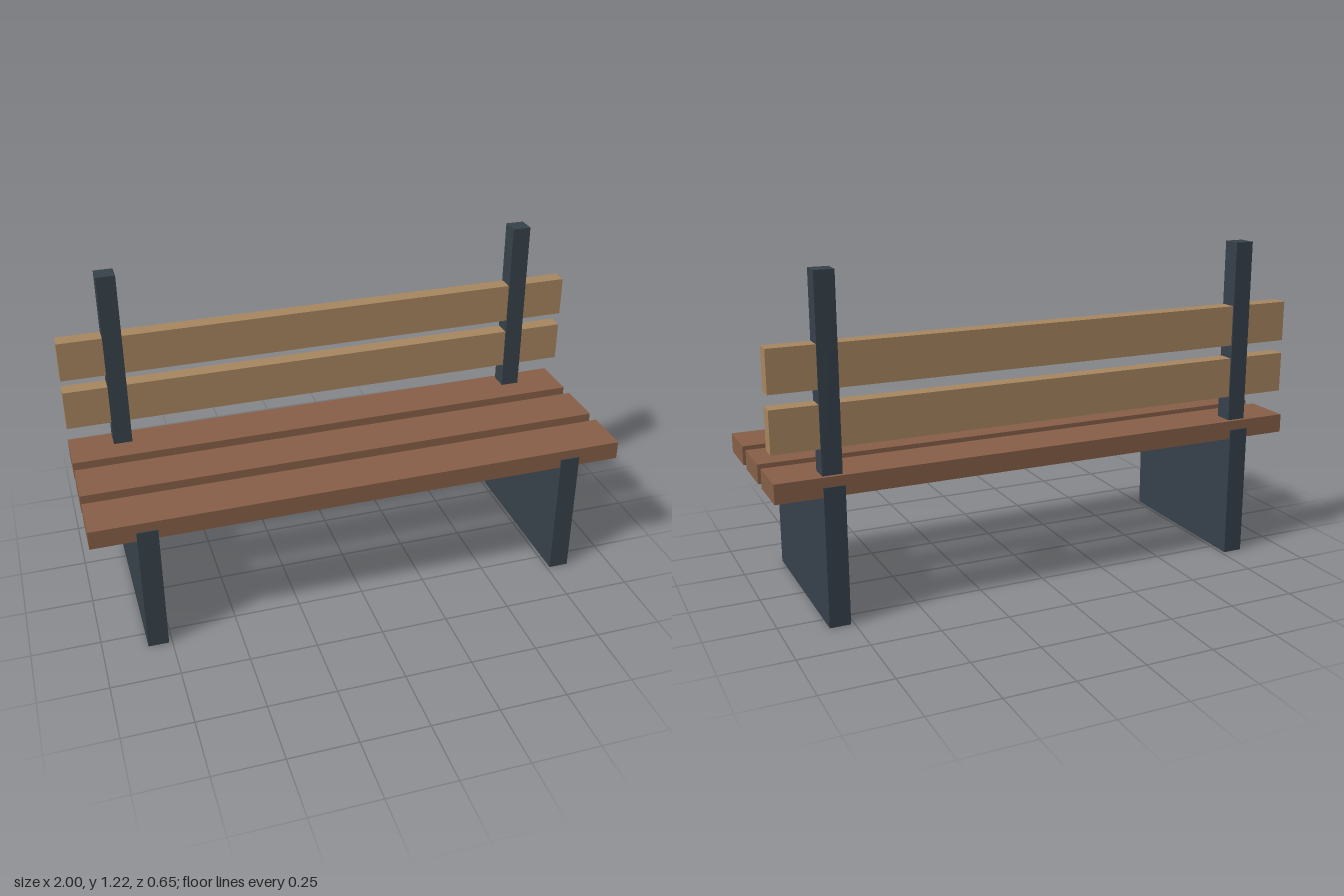
import * as THREE from 'three';

export function createModel() {
  const bench = new THREE.Group();
  bench.name = 'bench';

  const metal = new THREE.MeshStandardMaterial({ color: 0x37414b });
  const seatWood = new THREE.MeshStandardMaterial({ color: 0x875f48 });
  const backWood = new THREE.MeshStandardMaterial({ color: 0xa88660 });

  // Box given by its size and centre
  function addBox(name, material, [w, h, d], [x, y, z]) {
    const mesh = new THREE.Mesh(new THREE.BoxGeometry(w, h, d), material);
    mesh.name = name;
    mesh.position.set(x, y, z);
    bench.add(mesh);
  }

  // Slab legs and the posts that carry the backrest
  for (const [side, x] of [['left', 0.8], ['right', -0.8]]) {
    addBox(`${side}Leg`, metal, [0.075, 0.5, 0.65], [x, 0.25, 0]);
    addBox(`${side}BackPost`, metal, [0.07, 0.715, 0.07], [x, 0.8575, -0.27]);
  }

  // Seat planks, let into the tops of the legs
  [['front', 0.23], ['middle', 0], ['rear', -0.23]].forEach(([place, z]) =>
    addBox(`${place}SeatPlank`, seatWood, [2, 0.07, 0.18], [0, 0.5, z]));

  // Backrest slats, running through the posts
  [['lower', 0.702], ['upper', 0.902]].forEach(([place, y]) =>
    addBox(`${place}BackSlat`, backWood, [2, 0.15, 0.06], [0, y, -0.27]));

  return bench;
}
